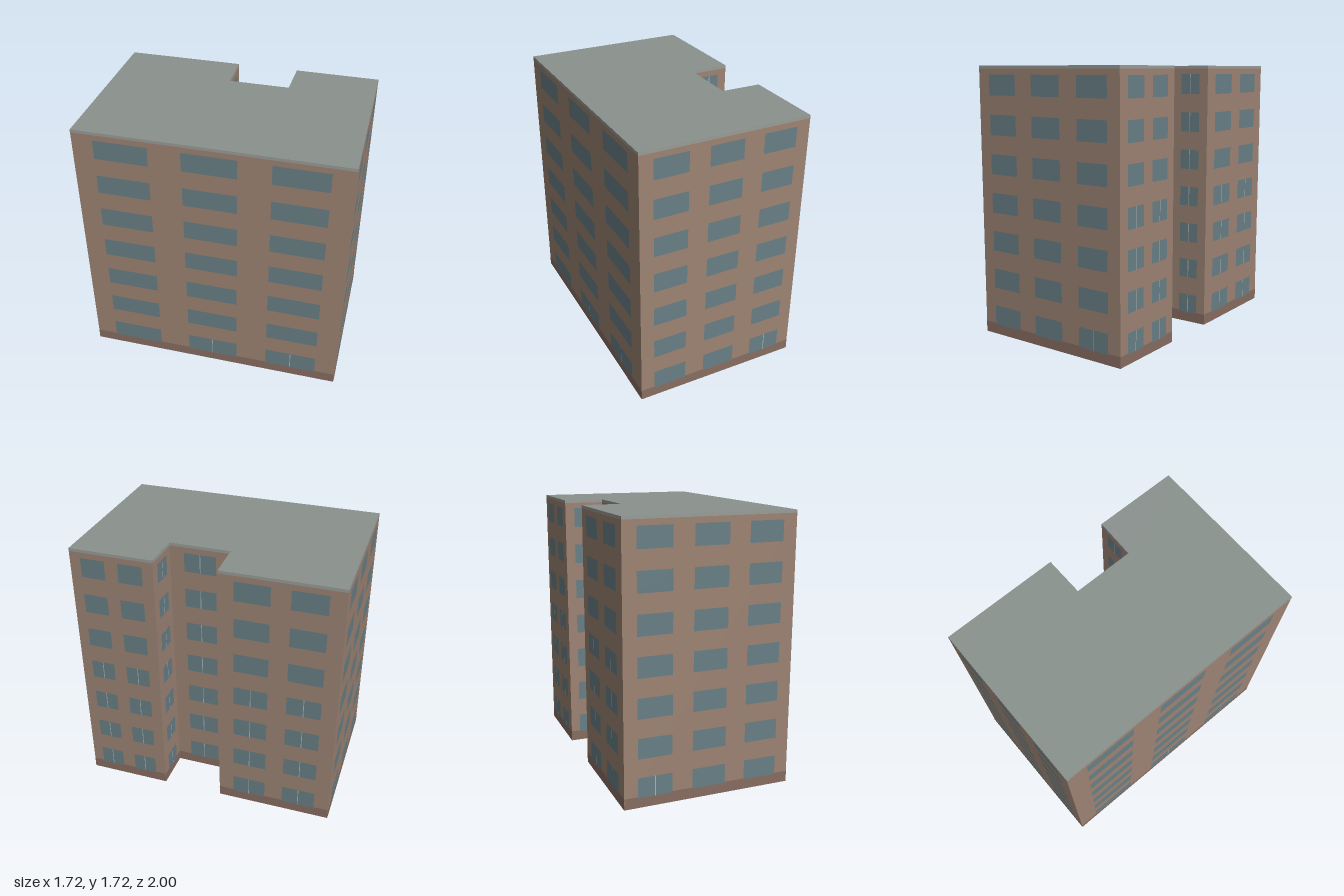
import * as THREE from 'three';

const HEIGHT = 1.72, FLOORS = 7, FLOOR_STEP = 0.246;
const WINDOW_BOTTOM = 0.063, WINDOW_HEIGHT = 0.127;

const material = (color, side = THREE.FrontSide) => new THREE.MeshStandardMaterial({ color, side });

// Window columns as [centre, width] fractions of the wall length, by column count
const COLUMNS = {
  1: [[0.5, 0.53]],
  2: [[0.275, 0.29], [0.725, 0.29]],
  3: [[0.18, 0.2], [0.5, 0.2], [0.82, 0.2]],
};

// Footprint corners, counter-clockwise from above. Each starts a wall with
// a number of window columns; split = floors with a central bar, per column.
const WALLS = [
  { name: 'leftWall', at: [-0.857, -0.525], columns: 3, split: [0, 1, 1] },
  { name: 'frontWall', at: [-0.127, 0.997], columns: 3, split: [0, 0, 1] },
  { name: 'rightFrontWall', at: [0.857, 0.523], columns: 2, split: [4, 4] },
  { name: 'recessFrontWall', at: [0.624, 0.035], columns: 1, split: [7] },
  { name: 'recessInnerWall', at: [0.39, 0.142], columns: 1, split: [7] },
  { name: 'recessBackWall', at: [0.222, -0.208], columns: 1, split: [7] },
  { name: 'rightBackWall', at: [0.45, -0.322], columns: 2, split: [4, 4] },
  { name: 'backWall', at: [0.124, -0.997], columns: 3, split: [1, 0, 0] },
];

export function createModel() {
  const model = new THREE.Group();
  model.name = 'apartmentBlock';

  const wallMat = material(0x9c8373, THREE.DoubleSide);
  const baseMat = material(0x886d61);
  const corniceMat = material(0x9a9c98);
  const windowMat = material(0x687f85);
  const barMat = material(0xa9b4b6);
  const roofMat = material(0x8a928e, THREE.DoubleSide);

  // Flat panel in a wall's own frame: x along the wall, z outwards
  const panel = (parent, name, mat, x, y, w, h, z) => {
    const mesh = new THREE.Mesh(new THREE.PlaneGeometry(w, h), mat);
    mesh.name = name;
    mesh.position.set(x, y + h / 2, z);
    parent.add(mesh);
  };

  WALLS.forEach(({ name, at, columns, split }, i) => {
    const next = WALLS[(i + 1) % WALLS.length].at;
    const dx = next[0] - at[0], dz = next[1] - at[1];
    const length = Math.hypot(dx, dz);

    const wall = new THREE.Group();
    wall.name = name;
    wall.position.set(at[0], 0, at[1]);
    wall.rotation.y = Math.atan2(-dz, dx);
    model.add(wall);

    // Wall surface with a darker base band and a pale cornice
    panel(wall, 'wallSurface', wallMat, length / 2, 0, length, HEIGHT, 0);
    panel(wall, 'baseBand', baseMat, length / 2, 0, length, 0.07, 0.001);
    panel(wall, 'cornice', corniceMat, length / 2, HEIGHT - 0.018, length, 0.018, 0.001);

    // Window grid
    COLUMNS[columns].forEach(([centre, width], c) => {
      for (let f = 0; f < FLOORS; f++) {
        const x = centre * length, y = WINDOW_BOTTOM + f * FLOOR_STEP;
        panel(wall, 'window', windowMat, x, y, width * length, WINDOW_HEIGHT, 0.002);
        if (f < split[c]) panel(wall, 'windowBar', barMat, x, y, 0.005, WINDOW_HEIGHT, 0.003);
      }
    });
  });

  // Flat roof over the footprint
  const outline = new THREE.Shape(WALLS.map(({ at }) => new THREE.Vector2(at[0], -at[1])));
  const roof = new THREE.Mesh(new THREE.ShapeGeometry(outline).rotateX(-Math.PI / 2), roofMat);
  roof.name = 'roof';
  roof.position.y = HEIGHT;
  model.add(roof);

  return model;
}
